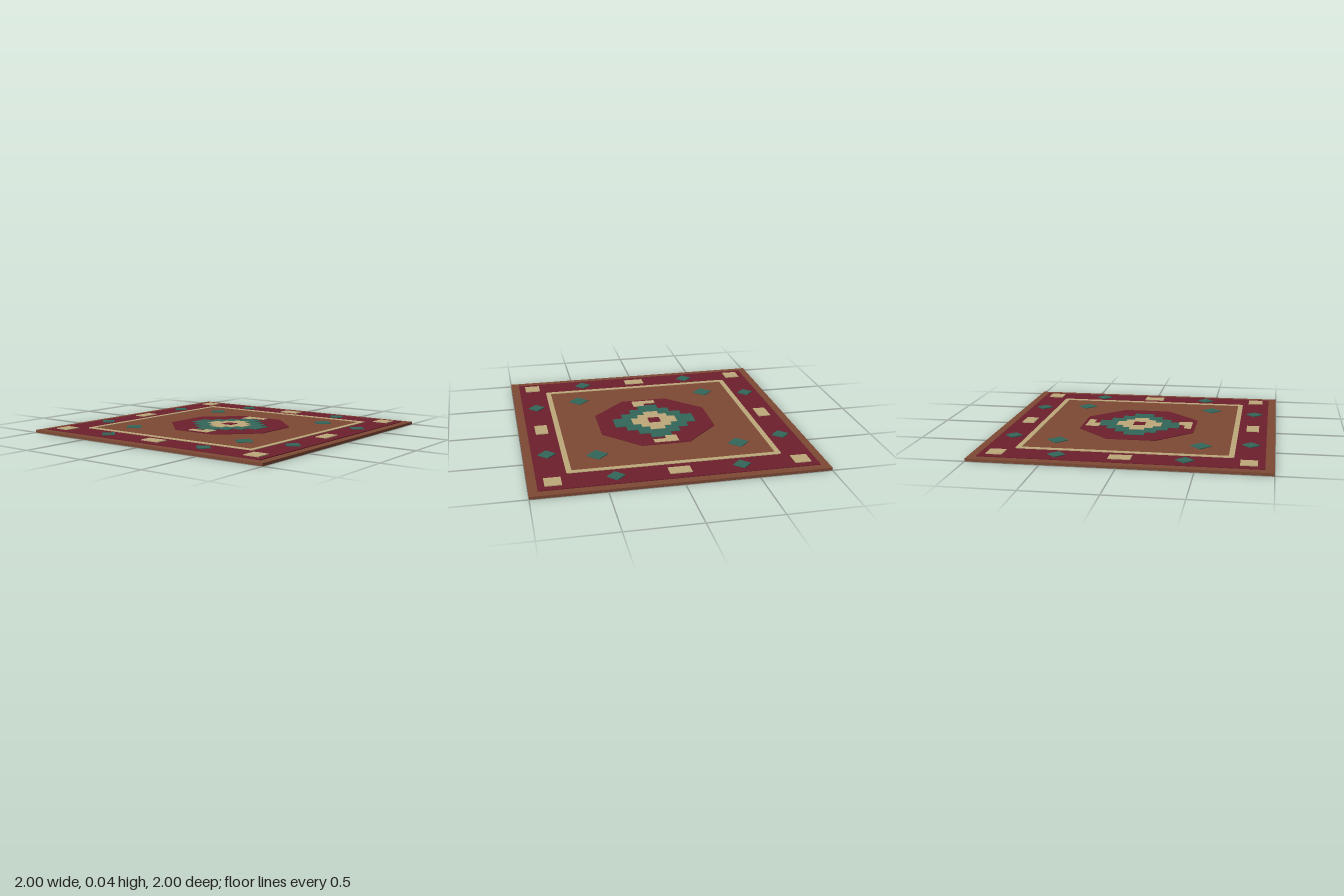
import * as THREE from 'three';

export function createModel() {
  const rug = new THREE.Group();
  rug.name = 'rug';

  const material = (name, color) => {
    const m = new THREE.MeshStandardMaterial({ color });
    m.name = name;
    return m;
  };
  const brown = material('brown wool', 0x7d4935);
  const red = material('deep red wool', 0x6e1f2d);
  const cream = material('cream wool', 0xbea87a);
  const teal = material('teal wool', 0x33665a);

  const add = (name, geometry, mat, x = 0, y = 0, z = 0) => {
    const mesh = new THREE.Mesh(geometry, mat);
    mesh.name = name;
    mesh.position.set(x, y, z);
    rug.add(mesh);
    return mesh;
  };
  // Box given by its centre in plan, plan size, and bottom / top heights
  const slab = (name, mat, x, z, w, d, y0, y1) =>
    add(name, new THREE.BoxGeometry(w, y1 - y0, d), mat, x, (y0 + y1) / 2, z);
  // Flat plate extruded upwards from a plan outline
  const plate = (name, mat, shape, y0, y1) => {
    const g = new THREE.ExtrudeGeometry(shape, { depth: y1 - y0, bevelEnabled: false, curveSegments: 4 });
    return add(name, g.rotateX(-Math.PI / 2), mat, 0, y0, 0);
  };
  const diamond = (name, x, z, side, y0, y1) => {
    slab(name, teal, x, z, side, side, y0, y1).rotation.y = Math.PI / 4;
  };

  // Square outline with small rounded corners
  const roundedSquare = (PathType, h, r) => {
    const p = new PathType();
    p.absarc(h - r, h - r, r, 0, Math.PI / 2);
    p.absarc(r - h, h - r, r, Math.PI / 2, Math.PI);
    p.absarc(r - h, r - h, r, Math.PI, Math.PI * 1.5);
    p.absarc(h - r, r - h, r, Math.PI * 1.5, Math.PI * 2);
    p.closePath();
    return p;
  };

  // Stepped diamond outline: n steps of size u in each quadrant
  const steppedDiamond = (n, u) => {
    const points = [];
    for (let q = 0; q < 4; q++) {
      const c = [1, 0, -1, 0][q], s = [0, 1, 0, -1][q];
      const put = (x, y) => points.push(new THREE.Vector2(x * c - y * s, x * s + y * c));
      for (let i = 0; i < n; i++) {
        put((n - i) * u, i * u);
        put((n - i) * u, (i + 1) * u);
      }
    }
    return new THREE.Shape(points);
  };

  // Base cloth, border band and central field
  slab('baseCloth', brown, 0, 0, 2, 2, 0, 0.019);
  slab('borderBand', red, 0, 0, 1.88, 1.88, 0.019, 0.024);
  slab('centralField', brown, 0, 0, 1.42, 1.42, 0.024, 0.025);

  // Cream line between border and field
  const frame = roundedSquare(THREE.Shape, 0.737, 0.016);
  frame.holes.push(roundedSquare(THREE.Path, 0.7, 0.008));
  plate('creamFrame', cream, frame, 0.024, 0.028);

  // Border tiles and diamonds
  const b = 0.837;
  for (const s of [-1, 1]) {
    slab('borderTile', cream, 0, s * b, 0.15, 0.09, 0.024, 0.03);
    slab('borderTile', cream, s * b, 0, 0.09, 0.15, 0.024, 0.03);
    for (const t of [-1, 1]) {
      slab('cornerTile', cream, s * b, t * b, 0.112, 0.112, 0.024, 0.03);
      diamond('borderDiamond', s * 0.425, t * b, 0.088, 0.024, 0.03);
      diamond('borderDiamond', s * b, t * 0.425, 0.088, 0.024, 0.03);
      diamond('fieldDiamond', s * 0.5, t * 0.5, 0.106, 0.025, 0.03);
    }
  }

  // Octagonal medallion with stepped motifs stacked on it
  const octagon = new THREE.CylinderGeometry(0.451, 0.451, 0.004, 8).rotateY(Math.PI / 8).toNonIndexed();
  octagon.computeVertexNormals();
  add('medallion', octagon, red, 0, 0.027, 0);
  plate('tealMotif', teal, steppedDiamond(4, 0.075), 0.029, 0.032);
  plate('creamMotif', cream, steppedDiamond(3, 0.055), 0.032, 0.034);
  slab('medallionCentre', red, 0, 0, 0.086, 0.086, 0.034, 0.036);

  // Hooks either side of the medallion, turned half round from each other
  for (const s of [-1, 1]) {
    slab('hookStem', cream, s * 0.364, s * 0.029, 0.052, 0.092, 0.029, 0.033);
    slab('hookFoot', cream, s * 0.34, s * -0.059, 0.1, 0.083, 0.029, 0.033);
  }

  return rug;
}
